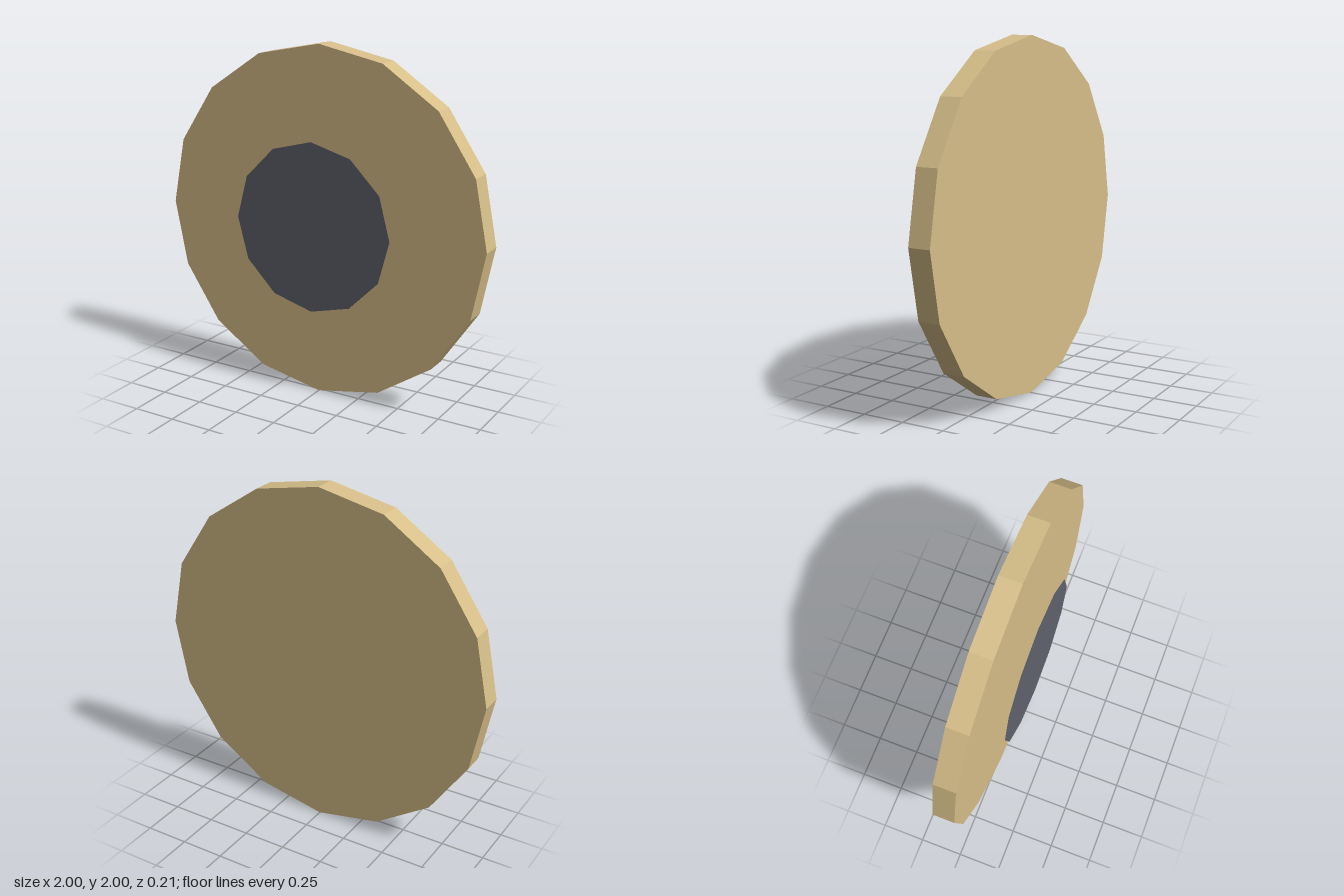
import * as THREE from 'three';

export function createModel() {
  const model = new THREE.Group();
  const tan = new THREE.MeshStandardMaterial({ color: 0xd6be88, flatShading: true });
  tan.name = 'tan';
  const slate = new THREE.MeshStandardMaterial({ color: 0x5f626c, flatShading: true });
  slate.name = 'slate';

  // Sixteen-sided disc standing on edge
  const back = -0.105, front = 0.02;
  const discGeometry = new THREE.CylinderGeometry(1, 1, front - back, 16);
  discGeometry.rotateX(Math.PI / 2);
  const disc = new THREE.Mesh(discGeometry, tan);
  disc.name = 'disc';
  disc.position.set(0, 1, (front + back) / 2);
  model.add(disc);

  // Thin twelve-sided centre plate, floating just ahead of the disc
  const plate = new THREE.Mesh(new THREE.CircleGeometry(0.485, 12), slate);
  plate.name = 'centrePlate';
  plate.position.set(0, 1, 0.105);
  model.add(plate);

  return model;
}
